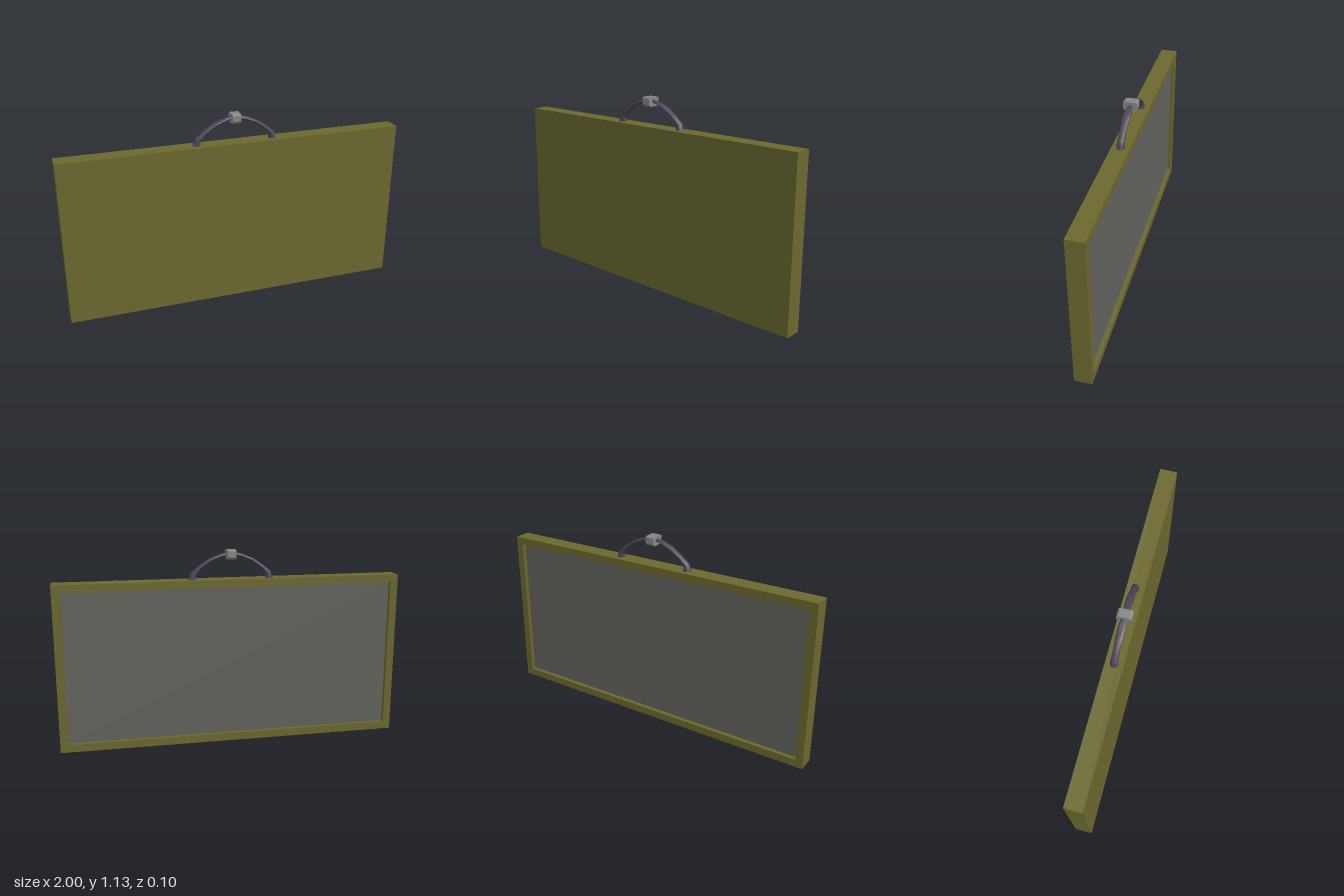
import * as THREE from 'three';
import { toCreasedNormals } from 'three/addons/utils/BufferGeometryUtils.js';

// Joins successive closed rings of points into one surface
function loft(rings, crease) {
  const n = rings[0].length;
  const index = [];
  for (let i = 0; i < rings.length - 1; i++) {
    for (let j = 0; j < n; j++) {
      const k = (j + 1) % n;
      const a = i * n + j, b = i * n + k, c = a + n, d = b + n;
      index.push(a, c, b, b, c, d);
    }
  }
  const geo = new THREE.BufferGeometry();
  geo.setAttribute('position', new THREE.Float32BufferAttribute(rings.flat(2), 3));
  geo.setIndex(index);
  return toCreasedNormals(geo, crease);
}

function addPart(group, name, geometry, color) {
  const mesh = new THREE.Mesh(geometry, new THREE.MeshStandardMaterial({ color }));
  mesh.name = name;
  group.add(mesh);
  return mesh;
}

export function createModel() {
  const model = new THREE.Group();
  model.name = 'hangingFrame';
  const H = 0.965, midY = H / 2, rim = 0.045;

  // Casing: closed front, raised rim around a shallow recess at the back
  const corners = [[1, 1], [-1, 1], [-1, -1], [1, -1]];
  const sections = [
    [0, 0, 0.05], [1, midY, 0.05], [1, midY, -0.05],
    [1 - rim, midY - rim, -0.05], [1 - rim, midY - rim, -0.026],
  ].map(([w, h, z]) => corners.map(([sx, sy]) => [sx * w, midY + sy * h, z]));
  addPart(model, 'casing', loft(sections, 0.3), 0x6b682f);

  // Panel set into the recess, facing backwards
  const panel = addPart(model, 'panel',
    new THREE.PlaneGeometry(2 * (1 - rim), H - 2 * rim), 0x63645d);
  panel.rotation.y = Math.PI;
  panel.position.set(0, midY, -0.026);

  // Handle: flattened strap, [x, y, in-plane radius, z radius]; mirrored about x = 0
  const half = [
    [0.224, 0.955, 0.025, 0.024], [0.217, 0.995, 0.018, 0.021],
    [0.175, 1.035, 0.011, 0.018], [0.12, 1.073, 0.01, 0.022],
    [0.06, 1.097, 0.009, 0.02], [0.02, 1.107, 0.009, 0.014],
  ];
  const path = [...half, ...half.map(([x, ...r]) => [-x, ...r]).reverse()];
  const sides = 12;
  const rings = path.map(([x, y, r, rz], i) => {
    const p = path[Math.max(i - 1, 0)], q = path[Math.min(i + 1, path.length - 1)];
    const isEnd = i === 0 || i === path.length - 1;
    const t = new THREE.Vector2(q[0] - p[0], q[1] - p[1]).normalize();
    if (isEnd) t.set(0, i === 0 ? 1 : -1);
    return Array.from({ length: sides }, (_, j) => {
      const a = j / sides * Math.PI * 2, c = Math.cos(a) * r;
      return [x + t.y * c, y - t.x * c, Math.sin(a) * rz];
    });
  });
  addPart(model, 'handle', loft(rings, 0.6), 0x4f4455);

  // Clasp: small chamfered block around the top of the handle
  const profile = [
    [-0.028, 1.13], [0.028, 1.13], [0.04, 1.123], [0.04, 1.09],
    [0.026, 1.076], [-0.026, 1.076], [-0.04, 1.09], [-0.04, 1.123],
  ].map(([z, y]) => new THREE.Vector2(-z, y));
  const claspGeo = new THREE.ExtrudeGeometry(new THREE.Shape(profile),
    { depth: 0.05, bevelEnabled: false });
  claspGeo.translate(0, 0, -0.025).rotateY(Math.PI / 2);
  addPart(model, 'clasp', claspGeo, 0x848885);

  return model;
}
